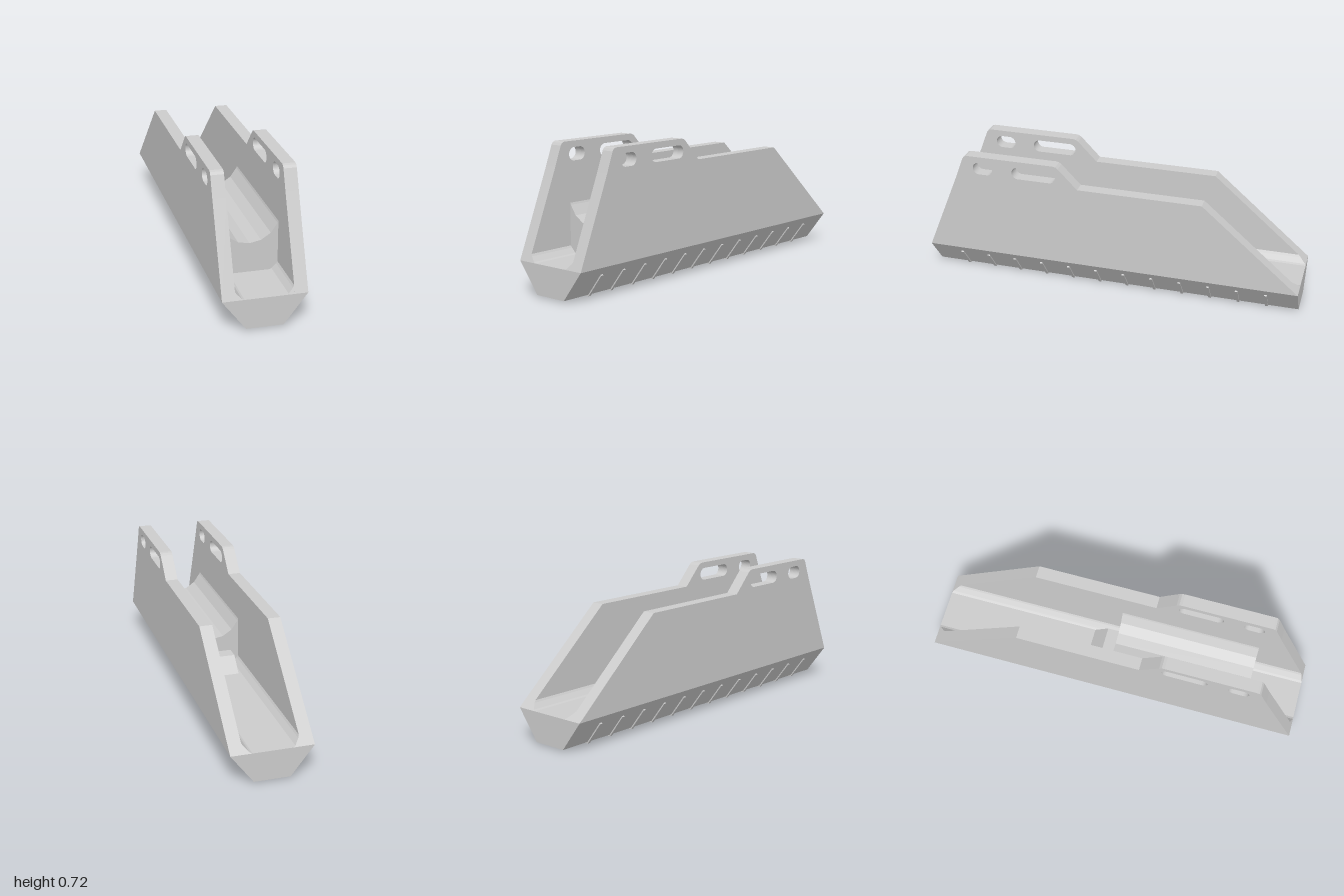
import * as THREE from 'three';

const DECK = 0.16; // height of the floor and hull rim
const IN = 0.142, OUT = 0.207; // inner and outer faces of the side walls

const material = new THREE.MeshStandardMaterial({ color: 0xcccccc, flatShading: true });

function polygon(points) {
  return new THREE.Shape(points.map(([x, y]) => new THREE.Vector2(x, y)));
}

// Rounded slot between z0 and z1, used as a hole
function slot(z0, z1, y, r) {
  const path = new THREE.Path();
  path.absarc(z1 - r, y, r, -Math.PI / 2, Math.PI / 2, false);
  path.absarc(z0 + r, y, r, Math.PI / 2, Math.PI * 1.5, false);
  path.closePath();
  return path;
}

// Cross-section in x/y, extruded from z0 to z1
function alongZ(points, z0, z1) {
  const g = new THREE.ExtrudeGeometry(polygon(points), { depth: z1 - z0, bevelEnabled: false });
  return g.translate(0, 0, z0);
}

// Profile in z/y, extruded from x0 to x1
function alongX(shape, x0, x1) {
  const g = new THREE.ExtrudeGeometry(shape, { depth: x1 - x0, bevelEnabled: false, curveSegments: 10 });
  return g.rotateY(-Math.PI / 2).translate(x1, 0, 0);
}

export function createModel() {
  const group = new THREE.Group();
  const add = (name, geometry) => {
    const mesh = new THREE.Mesh(geometry, material);
    mesh.name = name;
    group.add(mesh);
  };

  // Hull with sloping flanks
  add('hull', alongZ([[-OUT, DECK], [-0.091, 0.008], [0.091, 0.008], [OUT, DECK]], -1, 1));

  // Side walls with a raised, slotted lug
  const wall = polygon([
    [-1, DECK], [1, DECK], [0.82, 0.6], [0.782, 0.7], [0.773, 0.712], [0.76, 0.717],
    [0.29, 0.717], [0.275, 0.714], [0.262, 0.705], [0.16, 0.6], [-0.49, 0.6],
  ]);
  wall.holes.push(slot(0.62, 0.727, 0.652, 0.033), slot(0.277, 0.513, 0.652, 0.033));
  add('leftWall', alongX(wall, IN, OUT));
  add('rightWall', alongX(wall, -OUT, -IN));

  // Fillets between floor and walls, their ends following the sloping wall ends
  for (const side of [1, -1]) {
    const section = [[IN, DECK], [IN, 0.198], [0.135, 0.188], [0.112, 0.165], [0.1, DECK]];
    const g = alongZ(section.map(([x, y]) => [x * side, y]), -1, 1);
    const p = g.attributes.position;
    for (let i = 0; i < p.count; i++) {
      const rise = p.getY(i) - DECK;
      p.setZ(i, p.getZ(i) > 0 ? 1 - rise * 0.41 : -1 + rise * 1.16);
    }
    g.computeVertexNormals();
    add(side > 0 ? 'leftFillet' : 'rightFillet', g);
  }

  // Cradle block with a faceted round trough
  const cradle = [[-IN, DECK], [IN, DECK], [IN, 0.412]];
  for (let i = 3; i >= -3; i--) {
    const a = (i * Math.PI) / 8;
    cradle.push([0.149 * Math.sin(a), 0.459 - 0.149 * Math.cos(a)]);
  }
  cradle.push([-IN, 0.412]);
  add('cradle', alongZ(cradle, -0.02, 0.725));

  // Sloped stop behind the cradle
  const stop = polygon([[-0.165, DECK], [-0.02, DECK], [-0.02, 0.235], [-0.09, 0.235]]);
  add('cradleStop', alongX(stop, -0.1, 0.1));

  // Thin ribs wrapped around the underside
  const rib = [[-0.176, 0.12], [-0.18, 0.114], [-0.093, 0], [0.093, 0], [0.18, 0.114], [0.176, 0.12]];
  for (let i = 0; i < 12; i++) {
    const z = 0.833 - i * 0.1515;
    add('rib' + (i + 1), alongZ(rib, z - 0.007, z + 0.007));
  }
  return group;
}
